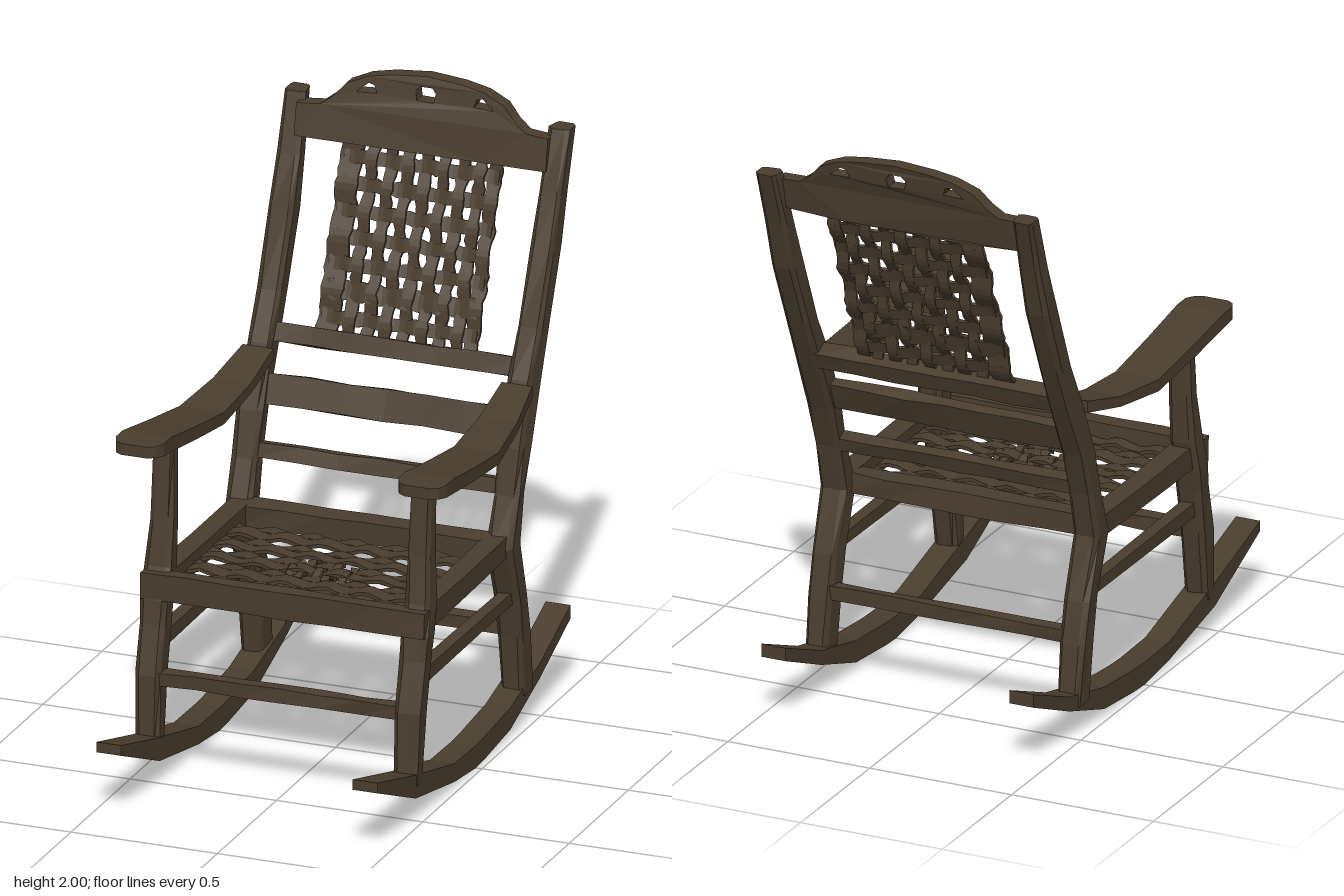
import * as THREE from 'three';

const wood = new THREE.MeshStandardMaterial({ color: 0x4a3d2e, flatShading: true });
wood.name = 'dark wood';

// repeatable roughness from a position, so shared corners stay together
const rough = (a, b, c) => {
  const v = Math.sin(a * 127.1 + b * 311.7 + c * 74.7) * 43758.5453;
  return v - Math.floor(v) - 0.5;
};

function reshape(geometry, rule) {
  const p = geometry.attributes.position;
  for (let i = 0; i < p.count; i++) p.setXYZ(i, ...rule(p.getX(i), p.getY(i), p.getZ(i)));
  geometry.computeVertexNormals();
  return geometry;
}

function add(parent, name, geometry) {
  const mesh = new THREE.Mesh(geometry, wood);
  mesh.name = name;
  parent.add(mesh);
  return mesh;
}

// chamfered upright; rows from bottom to top: [y, z, half depth, x, half width]
function hewnPost(rows) {
  const n = rows.length - 1;
  const g = new THREE.CylinderGeometry(1, 1, 1, 8, n, false, Math.PI / 8);
  const square = v => (Math.abs(v) < 0.01 ? 0 : Math.sign(v) * (Math.abs(v) > 0.5 ? 1 : 0.66));
  return reshape(g, (x, y, z) => {
    const k = Math.round((y + 0.5) * n), [py, pz, d, px, w] = rows[k];
    const u = square(x), v = square(z), j = rough(u, v, k + px) * 0.009;
    return [px + u * w + j, py, pz + v * d + j];
  });
}

// bar running along z; rows from back to front: [z, inner x, outer x, bottom, top]
function longBar(rows, side) {
  const n = rows.length - 1;
  return reshape(new THREE.BoxGeometry(1, 1, 1, 1, 1, n), (x, y, z) => {
    const [pz, inner, outer, y0, y1] = rows[Math.round((z + 0.5) * n)];
    return [side * (x * side > 0 ? outer : inner), y > 0 ? y1 : y0, pz];
  });
}

// slightly uneven bar running along x
function crossBar(width, height, depth) {
  return reshape(new THREE.BoxGeometry(width, height, depth, 6, 1, 1), (x, y, z) => [
    x, y + rough(x, y, z) * 0.008, z + rough(z, x, y) * 0.008]);
}

// thin strip along x that bends over and under its neighbours
function wovenStrip(length, width, phase, pitch, amp) {
  return reshape(new THREE.BoxGeometry(length, width, 0.012, 30, 1, 1), (x, y, z) => [
    x, y + rough(x, y, phase) * 0.009, z + amp * Math.cos((x / pitch + phase) * Math.PI)]);
}

export function createModel() {
  const chair = new THREE.Group();
  chair.name = 'rockingChair';

  for (const s of [1, -1]) {
    const label = s > 0 ? 'left' : 'right';

    add(chair, label + 'Rocker', longBar([
      [-0.8, 0.395, 0.48, 0.22, 0.265], [-0.54, 0.395, 0.48, 0.11, 0.16],
      [-0.29, 0.395, 0.48, 0.025, 0.1], [-0.07, 0.395, 0.48, 0.003, 0.08],
      [0, 0.395, 0.48, 0, 0.077], [0.18, 0.395, 0.48, 0.018, 0.08],
      [0.51, 0.395, 0.48, 0.08, 0.16], [0.835, 0.395, 0.48, 0.215, 0.25]], s));

    add(chair, label + 'FrontLeg', hewnPost([
      [0.12, 0.48, 0.032, 0.44 * s, 0.04], [0.36, 0.455, 0.048, 0.443 * s, 0.042],
      [0.52, 0.42, 0.042, 0.445 * s, 0.044], [0.6, 0.405, 0.045, 0.445 * s, 0.046],
      [0.7, 0.375, 0.04, 0.445 * s, 0.044], [0.85, 0.36, 0.032, 0.44 * s, 0.04],
      [1.1, 0.345, 0.024, 0.44 * s, 0.036]]));

    add(chair, label + 'BackPost', hewnPost([
      [0.1, -0.44, 0.052, 0.445 * s, 0.038], [0.3, -0.415, 0.047, 0.445 * s, 0.042],
      [0.44, -0.385, 0.045, 0.445 * s, 0.044], [0.64, -0.315, 0.048, 0.447 * s, 0.046],
      [0.8, -0.365, 0.036, 0.447 * s, 0.043], [0.95, -0.41, 0.042, 0.447 * s, 0.045],
      [1.15, -0.5, 0.05, 0.445 * s, 0.043], [1.3, -0.575, 0.044, 0.445 * s, 0.04],
      [1.53, -0.675, 0.045, 0.447 * s, 0.041], [1.7, -0.735, 0.036, 0.447 * s, 0.038],
      [1.89, -0.8, 0.034, 0.452 * s, 0.035]]));

    add(chair, label + 'Armrest', longBar([
      [-0.44, 0.39, 0.495, 1.1, 1.14], [-0.25, 0.39, 0.52, 1.055, 1.09],
      [-0.03, 0.393, 0.545, 1.03, 1.07], [0.2, 0.397, 0.557, 1.06, 1.105],
      [0.4, 0.4, 0.565, 1.09, 1.14], [0.46, 0.4, 0.565, 1.097, 1.14],
      [0.49, 0.415, 0.552, 1.1, 1.138], [0.505, 0.44, 0.53, 1.1, 1.138]], s));

    add(chair, label + 'SeatRail', longBar([
      [-0.31, 0.4, 0.47, 0.61, 0.68], [0.05, 0.402, 0.472, 0.605, 0.677],
      [0.43, 0.4, 0.475, 0.603, 0.682]], s));
    add(chair, label + 'SideStretcher', longBar([
      [-0.37, 0.425, 0.465, 0.43, 0.47], [0.43, 0.42, 0.465, 0.425, 0.475]], s));
  }

  // crosswise rails: name, y, z, width, height, depth, tilt
  const rails = [
    ['frontSeatRail', 0.642, 0.425, 0.97, 0.09, 0.055, 0],
    ['backSeatRail', 0.645, -0.27, 0.84, 0.07, 0.08, 0],
    ['frontStretcher', 0.35, 0.465, 0.84, 0.045, 0.05, 0],
    ['backStretcher', 0.32, -0.425, 0.84, 0.045, 0.045, 0],
    ['lowBackRail', 0.818, -0.375, 0.82, 0.05, 0.045, -0.3],
    ['middleBackRail', 1.005, -0.435, 0.82, 0.1, 0.04, -0.38],
    ['panelRail', 1.165, -0.52, 0.84, 0.06, 0.06, -0.38]];
  for (const [name, y, z, w, h, d, tilt] of rails) {
    const rail = add(chair, name, crossBar(w, h, d));
    rail.position.set(0, y, z);
    rail.rotation.x = tilt;
  }

  // arched crest with three cut-outs, leaning with the posts
  const arch = [[0.12, 1.99], [0.2, 1.975], [0.27, 1.945], [0.31, 1.9], [0.35, 1.87], [0.43, 1.865], [0.43, 1.76]];
  const crest = new THREE.Shape([
    ...arch.slice().reverse().map(([x, y]) => new THREE.Vector2(x, y)),
    new THREE.Vector2(0, 2),
    ...arch.map(([x, y]) => new THREE.Vector2(-x, y)),
    new THREE.Vector2(-0.2, 1.755), new THREE.Vector2(0.2, 1.755)]);
  const hole = pts => crest.holes.push(new THREE.Path(pts.map(([x, y]) => new THREE.Vector2(x, y))));
  hole([[-0.03, 1.92], [-0.035, 1.95], [-0.02, 1.965], [0.02, 1.965], [0.033, 1.95], [0.028, 1.918]]);
  for (const s of [1, -1]) hole([[0.165 * s, 1.925], [0.175 * s, 1.95], [0.195 * s, 1.955], [0.235 * s, 1.922]]);
  add(chair, 'crestRail', reshape(
    new THREE.ExtrudeGeometry(crest, { depth: 0.05, bevelEnabled: false }),
    (x, y, z) => [x, y, z - 0.78 - (y - 1.76) * 0.19 + 0.1 * x * x]));

  // woven back panel
  const panel = new THREE.Group();
  panel.name = 'backPanel';
  panel.position.set(0, 1.475, -0.635);
  panel.rotation.x = -0.385;
  chair.add(panel);
  const pitch = 0.085;
  const uprights = [[-0.24, 0.075]];
  for (let i = 0; i < 7; i++) uprights.push([-0.165 + i * 0.061, 0.038]);
  uprights.push([0.25, 0.045]);
  uprights.forEach(([x, w], i) => {
    const strip = add(panel, 'uprightStrip', wovenStrip(0.63, w, i, pitch, 0.008));
    strip.rotation.z = Math.PI / 2;
    strip.position.x = x;
  });
  for (let i = -3; i <= 3; i++) {
    const strip = add(panel, 'crossStrip', wovenStrip(0.53, i === -2 ? 0.065 : 0.045, i, 0.061, 0.006));
    strip.position.set(0, i * pitch, 0);
  }

  // woven seat
  const seat = new THREE.Group();
  seat.name = 'seatWeave';
  seat.position.y = 0.635;
  chair.add(seat);
  for (let i = 0; i < 10; i++) {
    const strip = add(seat, 'seatSlat', wovenStrip(0.82, i % 3 === 1 ? 0.058 : 0.05, i, 0.07, 0.008));
    strip.rotation.x = -Math.PI / 2;
    strip.position.set(0, i % 2 ? 0.006 : -0.006, -0.155 + i * 0.057);
  }
  for (let i = 0; i < 5; i++) {
    const strip = add(seat, 'seatBinder', wovenStrip(0.16, 0.025, i, 0.057, 0.012));
    strip.rotation.set(-Math.PI / 2, 0, Math.PI / 2);
    strip.position.set(-0.09 + i * 0.045, 0.003, 0.13);
  }
  return chair;
}
